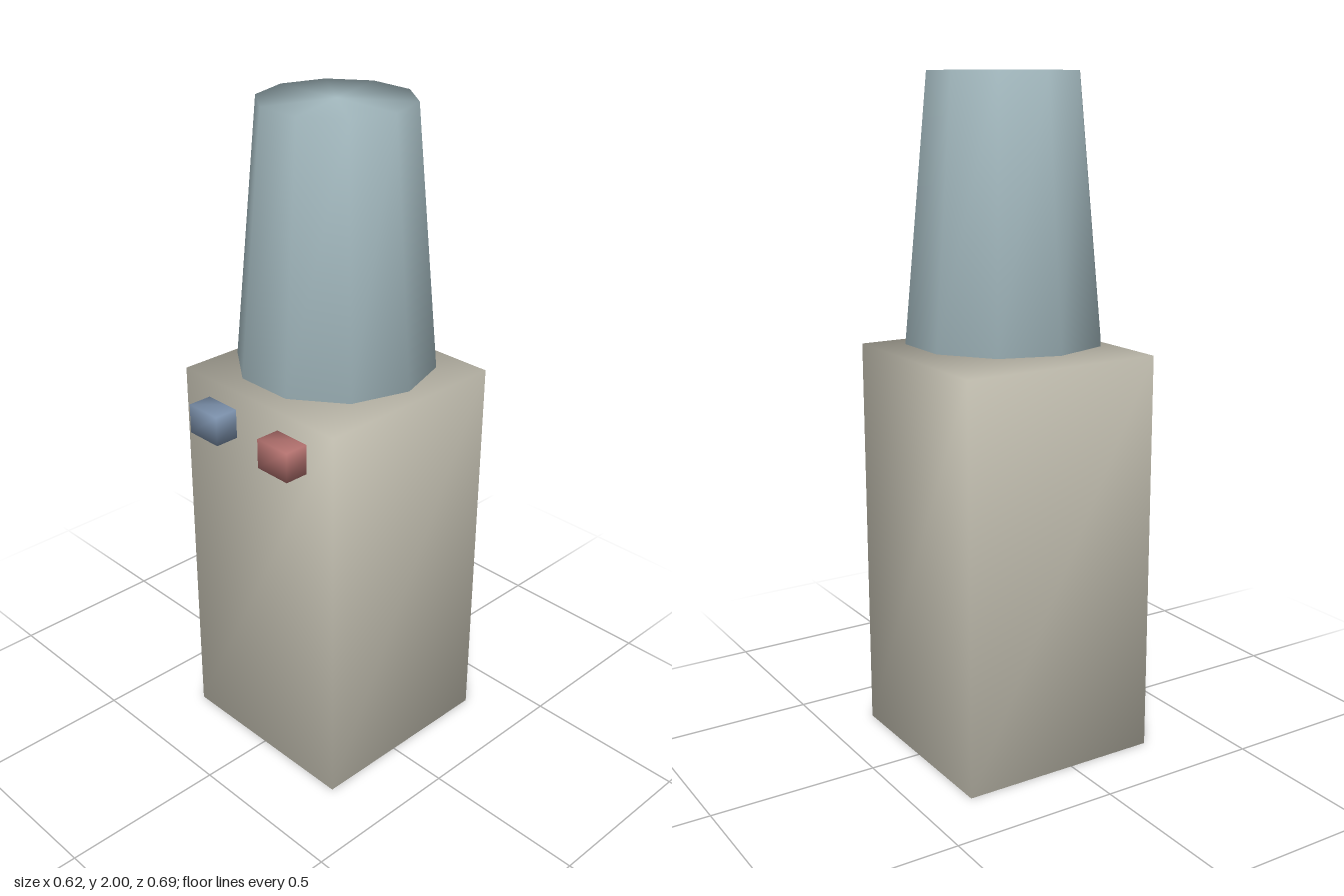
import * as THREE from 'three';
import { mergeVertices } from 'three/addons/utils/BufferGeometryUtils.js';

// Weld corners so that shading runs smoothly over every edge
function soften(geometry) {
  geometry.deleteAttribute('uv');
  geometry.deleteAttribute('normal');
  const welded = mergeVertices(geometry, 1e-4);
  welded.computeVertexNormals();
  return welded;
}

export function createModel() {
  const group = new THREE.Group();
  const centreZ = -0.037;

  function add(name, geometry, color, x, y, z) {
    const mesh = new THREE.Mesh(soften(geometry), new THREE.MeshStandardMaterial({ color }));
    mesh.name = name;
    mesh.position.set(x, y, z);
    group.add(mesh);
  }

  // Cabinet standing on the floor
  add('cabinet', new THREE.BoxGeometry(0.617, 1.21, 0.617), 0xccc8b9, 0, 0.605, centreZ);

  // Ten-sided tapered water bottle, floating just above the cabinet
  const bottle = new THREE.CylinderGeometry(0.221, 0.293, 0.76, 10, 1, false, Math.PI / 2);
  add('waterBottle', bottle, 0xa6bcc2, 0, 1.62, centreZ);

  // Cold and hot taps on the front
  for (const [name, color, x] of [['coldTap', 0x7d92ad, -0.147], ['hotTap', 0xb57370, 0.146]]) {
    add(name, new THREE.BoxGeometry(0.118, 0.09, 0.12), color, x, 1.107, 0.285);
  }

  return group;
}
